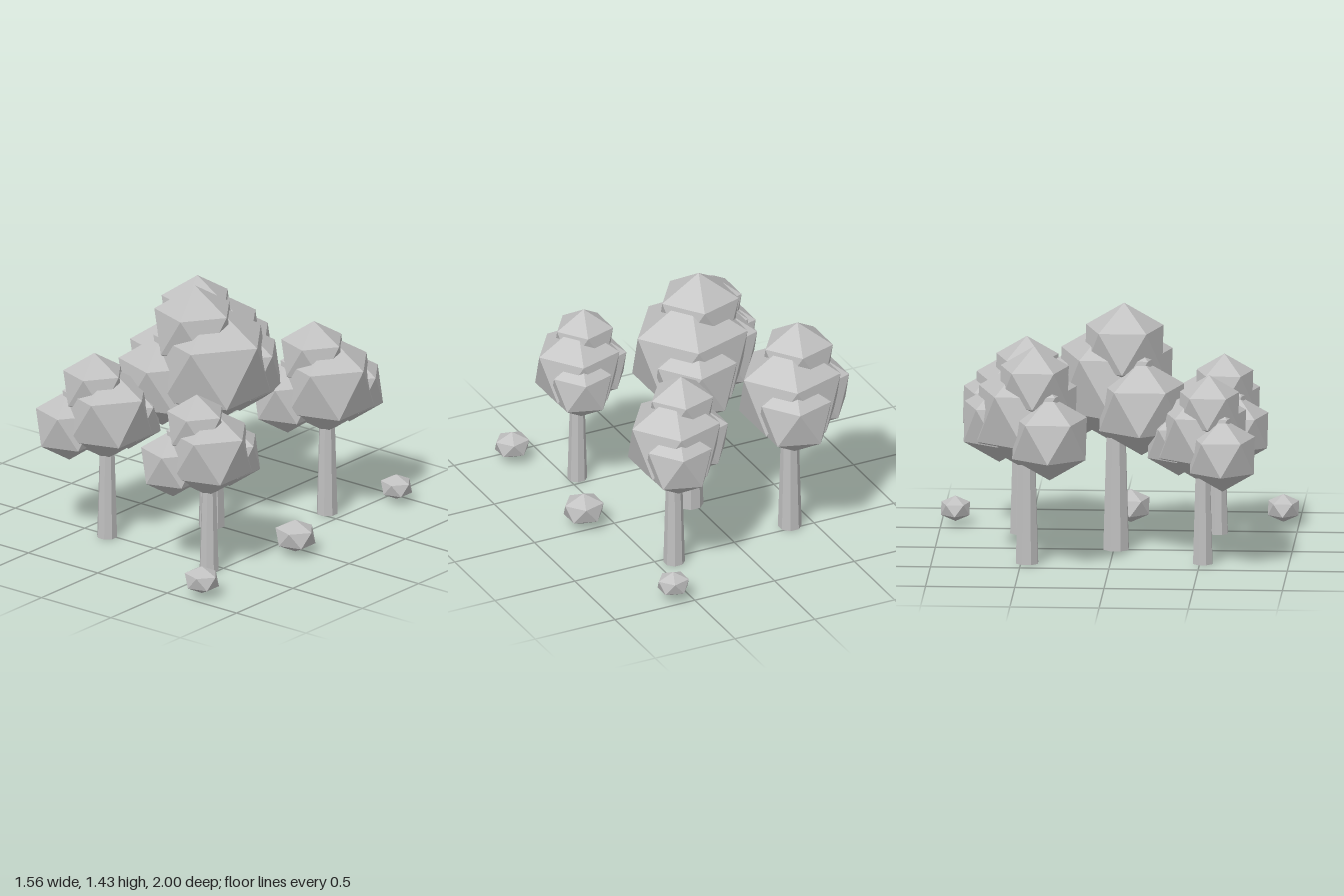
import * as THREE from 'three';

// Faceted icosahedron standing on a corner, with an upper corner towards +x
function makeBlob() {
  const ring = (i, y, turn) => {
    const a = (i + turn) * Math.PI * 2 / 5;
    return [0.8944 * Math.cos(a), y, 0.8944 * Math.sin(a)];
  };
  const upper = i => ring(i, 0.4472, 0);
  const lower = i => ring(i, -0.4472, 0.5);
  const points = [];
  for (let i = 0; i < 5; i++) {
    points.push(
      [0, 1, 0], upper(i + 1), upper(i),
      upper(i + 1), lower(i), upper(i),
      lower(i), upper(i + 1), lower(i + 1),
      [0, -1, 0], lower(i), lower(i + 1));
  }
  const geometry = new THREE.BufferGeometry();
  geometry.setAttribute('position', new THREE.Float32BufferAttribute(points.flat(), 3));
  geometry.computeVertexNormals();
  return geometry;
}

// Tapered eight-sided trunk with flat faces
function makeTrunk() {
  const geometry = new THREE.CylinderGeometry(0.053, 0.076, 0.8, 8)
    .rotateY(Math.PI / 8).translate(0, 0.4, 0).toNonIndexed();
  geometry.computeVertexNormals();
  return geometry;
}

export function createModel() {
  const model = new THREE.Group();
  model.name = 'grove';

  const grey = new THREE.MeshStandardMaterial({ color: 0xc0c0c0, flatShading: true });
  grey.name = 'pale grey';

  const blob = makeBlob();
  const trunk = makeTrunk();

  const add = (parent, name, geometry, [x, y, z] = [0, 0, 0], [sx, sy, sz] = [1, 1, 1]) => {
    const mesh = new THREE.Mesh(geometry, grey);
    mesh.name = name;
    mesh.position.set(x, y, z);
    mesh.scale.set(sx, sy, sz);
    parent.add(mesh);
  };

  // Foliage of a full-size tree: name, centre, radius
  const foliage = [
    ['mainFoliage', [0, 0.97, 0], 0.366],
    ['topFoliage', [-0.08, 1.175, 0.05], 0.255],
    ['sideFoliage', [-0.229, 0.865, 0.156], 0.275],
    ['backFoliage', [0.056, 0.905, -0.18], 0.262],
  ];

  // Trees: name, x, z, scale
  const trees = [
    ['centreTree', 0.02, 0.012, 1],
    ['frontLeftTree', 0.448, 0.563, 0.73],
    ['frontRightTree', -0.324, 0.517, 0.765],
    ['backLeftTree', 0.4, -0.545, 0.8],
    ['backRightTree', -0.365, -0.466, 0.88],
  ];
  for (const [name, x, z, scale] of trees) {
    const tree = new THREE.Group();
    tree.name = name;
    tree.position.set(x, 0, z);
    tree.scale.setScalar(scale);
    add(tree, 'trunk', trunk);
    for (const [part, centre, r] of foliage) add(tree, part, blob, centre, [r, r, r]);
    model.add(tree);
  }

  // Flattened rocks lying along the left side
  add(model, 'backRock', blob, [0.595, 0.092, -0.92], [0.101, 0.073, 0.094]);
  add(model, 'middleRock', blob, [0.662, 0.105, 0.06], [0.129, 0.095, 0.12]);
  add(model, 'frontRock', blob, [0.68, 0.098, 0.914], [0.111, 0.08, 0.101]);

  return model;
}
